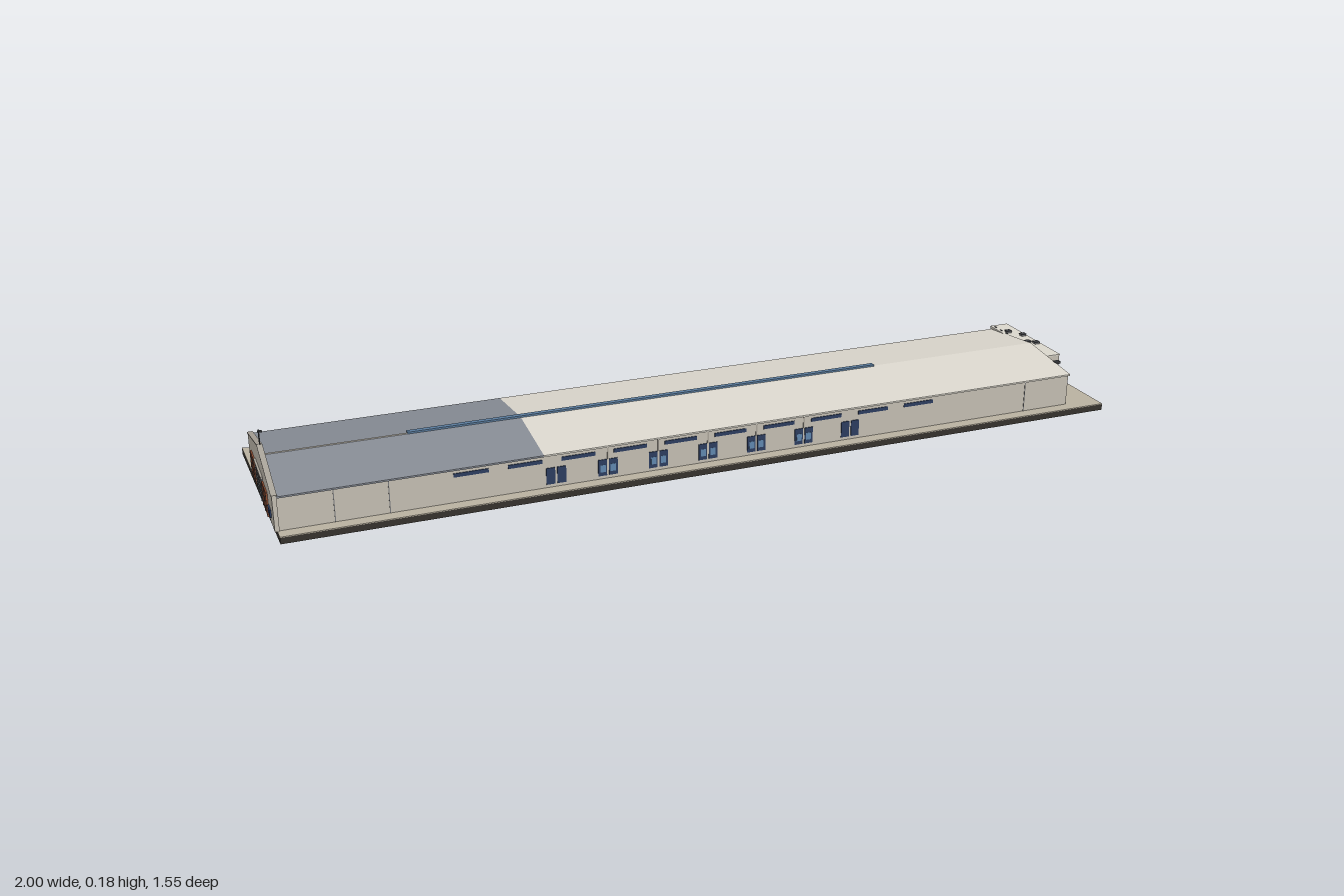
import * as THREE from 'three';

const mat = (color) => new THREE.MeshStandardMaterial({ color });
const M = {
  wall: mat(0xc2bcb0), roof: mat(0xdad6cc), darkRoof: mat(0x868b94), ridge: mat(0x5a7b9c),
  paving: mat(0xb9b1a0), slab: mat(0x35312c), under: mat(0x57554e), navy: mat(0x2b3c5e),
  glass: mat(0x5f86ad), grey: mat(0x77787a), brown: mat(0x8a4b30), dark: mat(0x3c3e42), trim: mat(0xa8a298),
};

// Local frame: x runs along the hall, z across it; the whole hall is turned at the end
const BASE = 0.017, EAVE = 0.098, RIDGE = 0.121;
const X0 = -1.014, X1 = 0.969, BACK = -0.162, FRONT = 0.21, MID = 0.024;

export function createModel() {
  const model = new THREE.Group();
  const site = new THREE.Group();
  site.name = 'hall';
  site.rotation.y = 0.61;
  model.add(site);

  const add = (name, geo, m, parent = site) => {
    const mesh = new THREE.Mesh(geo, m);
    mesh.name = name;
    parent.add(mesh);
    return mesh;
  };
  const box = (name, m, w, h, d, x, y, z, parent) => {
    const b = add(name, new THREE.BoxGeometry(w, h, d), m, parent);
    b.position.set(x, y, z);
    return b;
  };
  const group = (name) => {
    const g = new THREE.Group();
    g.name = name;
    site.add(g);
    return g;
  };
  // Cross-section given as [z, y], drawn along x from x0 to x1
  const section = (name, m, pts, x0, x1) => {
    const shape = new THREE.Shape(pts.map(([z, y]) => new THREE.Vector2(-z, y)));
    const geo = new THREE.ExtrudeGeometry(shape, { depth: x1 - x0, bevelEnabled: false });
    geo.rotateY(Math.PI / 2).translate(x0, 0, 0);
    return add(name, geo, m);
  };
  // Ground plan given as [x, z], raised from y0 to y1
  const plan = (name, m, pts, y0, y1) => {
    const shape = new THREE.Shape(pts.map(([x, z]) => new THREE.Vector2(x, -z)));
    const geo = new THREE.ExtrudeGeometry(shape, { depth: y1 - y0, bevelEnabled: false });
    geo.rotateX(-Math.PI / 2).translate(0, y0, 0);
    return add(name, geo, m);
  };

  // Ground slab with a splayed corner
  const ground = [[-1.026, -0.278], [-1.014, 0.237], [1.055, 0.237], [1.049, -0.218], [-0.822, -0.219]];
  plan('slabUnderside', M.under, ground, 0, 0.001);
  plan('slab', M.slab, ground, 0.001, 0.015);
  plan('paving', M.paving, ground, 0.015, BASE);

  // Main hall walls
  section('walls', M.wall, [
    [BACK + 0.004, BASE], [FRONT - 0.004, BASE], [FRONT - 0.004, EAVE],
    [MID, RIDGE - 0.004], [BACK + 0.004, EAVE],
  ], X0 + 0.004, X1 - 0.003);

  // Low pitched roof, dark over the entrance end
  const roofPts = [
    [BACK, EAVE - 0.003], [MID, RIDGE - 0.004], [FRONT, EAVE - 0.003],
    [FRONT, EAVE + 0.001], [MID, RIDGE], [BACK, EAVE + 0.001],
  ];
  section('darkRoof', M.darkRoof, roofPts, X0 + 0.004, -0.418);
  section('lightRoof', M.roof, roofPts, -0.418, X1);
  box('ridgeCap', M.roof, 0.33, 0.002, 0.005, -0.85, RIDGE, MID);
  box('ridgeLight', M.ridge, 1.192, 0.008, 0.013, -0.09, RIDGE, MID - 0.003);

  // Raised gable front
  section('gableFront', M.wall, [
    [BACK, BASE], [FRONT, BASE], [FRONT, 0.102], [MID, 0.145], [BACK, 0.102],
  ], X0 - 0.006, X0 + 0.004);
  for (const [z, w] of [[BACK, MID - BACK], [FRONT, FRONT - MID]]) {
    const coping = box('gableCoping', M.trim, 0.013, 0.002, Math.hypot(w, 0.043), X0 - 0.001, 0.1235, (z + MID) / 2);
    coping.rotation.x = Math.sign(z - MID) * Math.atan2(0.043, w);
  }

  // Mast
  const mast = group('mast');
  const pole = add('pole', new THREE.CylinderGeometry(0.0015, 0.0015, 0.04, 8), M.dark, mast);
  pole.position.set(X0, 0.161, MID);
  box('mastArm', M.dark, 0.01, 0.003, 0.007, X0 + 0.002, 0.178, MID + 0.003, mast);

  // Entrance
  const entrance = group('entrance');
  const xf = X0 - 0.007;
  box('entranceGlazing', M.grey, 0.004, 0.066, 0.105, xf, BASE + 0.033, 0.012, entrance);
  box('entranceCanopy', M.trim, 0.008, 0.004, 0.11, xf, 0.084, 0.012, entrance);
  for (const z of [-0.015, 0.012, 0.039])
    box('entranceMullion', M.dark, 0.006, 0.062, 0.002, xf, BASE + 0.031, z, entrance);
  for (const z of [-0.081, 0.1]) {
    box('timberPanel', M.brown, 0.005, 0.058, 0.066, xf, BASE + 0.031, z, entrance);
    for (const k of [-1, 0, 1])
      box('panelRail', M.dark, 0.007, 0.058, 0.002, xf, BASE + 0.031, z + k * 0.031, entrance);
  }
  box('sideWindow', M.navy, 0.005, 0.018, 0.03, xf, 0.044, 0.158, entrance);

  // Long front wall: paired windows, high strip windows and downpipes
  const zf = FRONT - 0.004;
  const windows = group('frontWindows');
  for (let i = 0; i < 7; i++) {
    const x = -0.39 + i * 0.1235;
    for (const side of [-1, 1]) {
      box('window', M.navy, 0.021, 0.04, 0.004, x + side * 0.013, 0.045, zf, windows);
      if (i > 0 && i < 6)
        box('pane', M.glass, 0.013, 0.018, 0.005, x + side * 0.012, 0.043, zf, windows);
    }
    if (i > 0 && i < 6)
      box('downpipe', M.trim, 0.003, 0.03, 0.004, x, 0.08, zf, windows);
  }
  for (let i = 0; i < 10; i++)
    box('stripWindow', M.navy, 0.08, 0.009, 0.004, -0.586 + i * 0.1247, 0.083, zf, windows);
  for (const x of [-0.89, -0.77, 0.84])
    box('wallJoint', M.grey, 0.002, EAVE - BASE, 0.002, x, (EAVE + BASE) / 2, zf);

  // Back wall doors
  for (const x of [0.457, -0.047, -0.55]) {
    box('backDoor', M.grey, 0.032, 0.04, 0.004, x, BASE + 0.02, BACK + 0.004);
    box('backDoorJoint', M.trim, 0.002, 0.038, 0.006, x, BASE + 0.02, BACK + 0.004);
  }

  // Flat roofed annex at the far end
  const annex = group('annex');
  box('annexWalls', M.wall, 0.05, 0.087, 0.256, 0.989, BASE + 0.0435, -0.036, annex);
  box('annexRoof', M.roof, 0.052, 0.003, 0.258, 0.989, 0.1055, -0.036, annex);
  for (const [x, z] of [[0.98, -0.102], [1.003, -0.066], [0.985, -0.013], [1.002, 0.0]]) {
    box('roofVent', M.grey, 0.013, 0.006, 0.012, x, 0.109, z, annex);
    box('ventCap', M.dark, 0.015, 0.002, 0.014, x, 0.112, z, annex);
  }
  for (let i = 0; i < 9; i++)
    box('roofBracket', M.dark, 0.003, 0.003, 0.009, X1 + 0.002, 0.107, -0.15 + i * 0.028, annex);

  // End door and wall lamp
  box('endDoor', M.grey, 0.004, 0.05, 0.034, X1 - 0.002, BASE + 0.025, 0.116);
  box('wallLamp', M.dark, 0.016, 0.006, 0.012, X1 + 0.006, 0.106, 0.138);

  return model;
}
